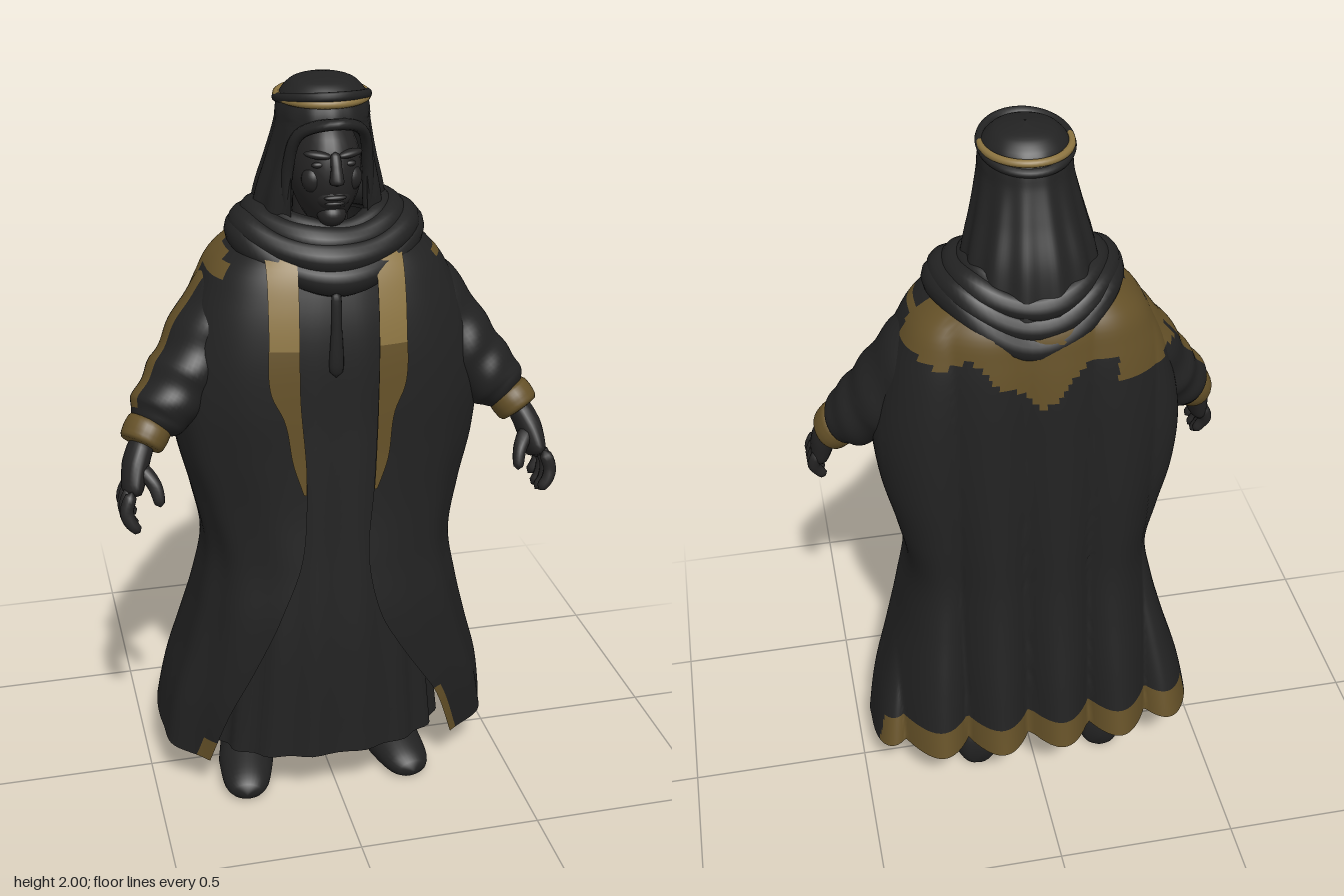
import * as THREE from 'three';
import { mergeVertices } from 'three/addons/utils/BufferGeometryUtils.js';

const material = (name, color) => {
  const m = new THREE.MeshStandardMaterial({ color, side: THREE.DoubleSide });
  m.name = name;
  return m;
};
const { cos, sin, PI, abs, max, sqrt, asin, hypot } = Math;
const lerp = THREE.MathUtils.lerp;
const power = (v, e) => Math.sign(v) * abs(v) ** e;
const V = (x, y, z) => new THREE.Vector3(x, y, z);

// Smooth lookup in rows of [y, ...values], given from low to high
function table(rows) {
  const n = rows[0].length - 1;
  const f = new THREE.CubicInterpolant(rows.map(r => r[0]), rows.flatMap(r => r.slice(1)), n, new Float32Array(n));
  return y => [...f.evaluate(THREE.MathUtils.clamp(y, rows[0][0], rows[rows.length - 1][0]))];
}

// Grid surface from fn(u, v); pick(point, u, v) chooses the material of a cell
function sheet(name, nu, nv, fn, mats, pick) {
  const pos = [], sets = [[], []];
  for (let j = 0; j <= nv; j++) for (let i = 0; i <= nu; i++) pos.push(...fn(i / nu, j / nv));
  for (let j = 0; j < nv; j++) for (let i = 0; i < nu; i++) {
    const a = j * (nu + 1) + i, b = a + 1, c = a + nu + 1, d = c + 1;
    const k = pick && pick(fn((i + 0.5) / nu, (j + 0.5) / nv), (i + 0.5) / nu, (j + 0.5) / nv) ? 1 : 0;
    sets[k].push(a, c, b, b, c, d);
  }
  let g = new THREE.BufferGeometry();
  g.setAttribute('position', new THREE.Float32BufferAttribute(pos, 3));
  g.setIndex([...sets[0], ...sets[1]]);
  if (pick) {
    g.addGroup(0, sets[0].length, 0);
    g.addGroup(sets[0].length, sets[1].length, 1);
  }
  g = mergeVertices(g, 1e-5);
  g.computeVertexNormals();
  const mesh = new THREE.Mesh(g, mats);
  mesh.name = name;
  return mesh;
}

// Point function of a limb along a path with radii [across, deep]
function limb(points, radii, { ref = V(0, 0, 1), round = true, ripple = 0 } = {}) {
  const curve = new THREE.CatmullRomCurve3(points.map(p => V(...p)));
  return (u, v) => {
    const c = curve.getPoint(v), t = curve.getTangent(v);
    const n = ref.clone().cross(t).normalize(), b = t.clone().cross(n);
    const s = v * (radii.length - 1), i = Math.min(Math.floor(s), radii.length - 2);
    const cap = round ? sqrt(max(0, 1 - abs(2 * v - 1) ** 8)) : 1;
    const k = cap * (1 + ripple * sin(v * 30 + 2 * cos(u * 2 * PI)));
    const r = [0, 1].map(q => lerp(radii[i][q], radii[i + 1][q], s - i) * k);
    return c.addScaledVector(n, r[0] * cos(u * 2 * PI)).addScaledVector(b, r[1] * sin(u * 2 * PI)).toArray();
  };
}

// Gold yoke over the upper back, with small patches on the shoulder fronts
const onYoke = ([x, y, z]) => {
  const edge = x < -0.2 ? 1.39 : Math.min(1.47, 1.345 + 0.8 * abs(x)) + 0.012 * sin(x * 45);
  return (z < 0.01 && y > edge) ||
    (z > 0 && (hypot(x - 0.283, y - 1.545) < 0.02 || hypot(x + 0.295, (y - 1.56) * 0.75) < 0.033));
};

export function createModel() {
  const cloth = material('blackCloth', 0x222222);
  const skin = material('darkSkin', 0x252424);
  const gold = material('darkGold', 0x655128);
  const bright = material('brightGold', 0x8c7440);
  const model = new THREE.Group();
  const add = (...a) => { const m = sheet(...a); model.add(m); return m; };

  // Open cloak: [y, half width, front z, back z]
  const cloakRow = table([
    [0.12, 0.48, 0.265, -0.285], [0.3, 0.445, 0.3, -0.258], [0.45, 0.4, 0.32, -0.24], [0.6, 0.36, 0.327, -0.22],
    [0.75, 0.335, 0.312, -0.205], [0.9, 0.36, 0.295, -0.2], [1.05, 0.395, 0.288, -0.195], [1.2, 0.405, 0.288, -0.19],
    [1.35, 0.375, 0.282, -0.185], [1.47, 0.33, 0.262, -0.175], [1.55, 0.28, 0.235, -0.16], [1.64, 0.15, 0.18, -0.1]]);
  // Edges of the front opening: [y, left x, right x]
  const opening = table([
    [0.13, 0.345, 0.365], [0.33, 0.27, 0.3], [0.44, 0.205, 0.255], [0.55, 0.14, 0.21], [0.65, 0.09, 0.17],
    [0.8, 0.062, 0.118], [1, 0.078, 0.1], [1.25, 0.085, 0.115], [1.64, 0.09, 0.105]]);
  const angleAt = (x, y) => asin(Math.min(1, (x / cloakRow(y)[0]) ** (1 / 0.87)));
  const cloakPoint = (a, y, off = 0) => {
    const [w, f, b] = cloakRow(y), c = cos(a), back = c < 0;
    const fall = max(0, (1.6 - y) / 1.4);
    const k = 1 + 0.07 * cos(a * 11 + y * 5) * (back ? 0 : c * (1 - c)) * fall;
    const x = w * power(sin(a), back ? 0.85 : 0.87) * k;
    // Rounded pleats with tight valleys between them
    const pleat = 2 * abs(cos(PI * (x + 0.05) / 0.175)) ** 0.85 - 1.1;
    const fold = back ? sqrt(-c) * (0.006 + 0.04 * fall ** 1.5) * pleat : 0;
    return [x, y, (f + b) / 2 + (f - b) / 2 * power(c, back ? 0.6 : 0.8) * k - fold + off];
  };
  add('cloak', 200, 84, (u, v) => {
    const y0 = lerp(1.64, 0.16, v), [l, r] = opening(y0);
    const a = lerp(angleAt(l, y0), 2 * PI - angleAt(r, y0), u);
    return cloakPoint(a, lerp(1.64, 0.17 - 0.065 * cos(a), v));
  }, [cloth, gold], (p, u, v) =>
    (v > 0.945 && p[2] < -0.12) || (v > 0.87 && u < 0.014) || (v > 0.95 && u > 0.97) || onYoke(p));

  // Gold edging beside the opening, wide on the chest and narrow below
  const edging = table([[0.97, 0.008], [1.05, 0.032], [1.18, 0.045], [1.25, 0.072], [1.4, 0.074], [1.58, 0.074]]);
  for (const s of [1, -1]) {
    const strip = (top, bottom) => (u, v) => {
      const y = lerp(top, bottom, v), x = opening(y)[s > 0 ? 0 : 1];
      return cloakPoint(s * angleAt(x + u * edging(y)[0], y), y, 0.006);
    };
    add('chestEdgingUpper', 8, 16, strip(1.58, 1.36), bright);
    add('chestEdgingLower', 8, 24, strip(1.36, 0.97), gold);
  }

  // Inner robe
  const robeRow = table([
    [0.17, 0.32, 0.303, -0.1], [0.5, 0.285, 0.295, -0.13], [0.8, 0.265, 0.272, -0.15],
    [1.1, 0.28, 0.255, -0.15], [1.4, 0.25, 0.24, -0.13], [1.62, 0.13, 0.18, -0.08]]);
  add('innerRobe', 96, 40, (u, v) => {
    const y = lerp(1.62, 0.17, v), [w, f, b] = robeRow(y), a = u * 2 * PI;
    const k = 1 - 0.025 * v * cos(a * 16);
    return [-0.015 * v + w * power(sin(a), 0.9) * k, y, (f + b) / 2 + (f - b) / 2 * power(cos(a), 0.85) * k];
  }, cloth);
  add('placket', 12, 16, limb([[-0.015, 1.5, 0.245], [-0.015, 1.4, 0.25], [-0.015, 1.27, 0.25]],
    [[0.014, 0.01], [0.014, 0.01], [0.022, 0.012]]), cloth);

  // Draped scarf: [half width, front z, back z, side y, front drop, back drop, thickness]
  for (const [w, f, b, y, df, db, t] of [
    [0.212, 0.215, -0.14, 1.605, 0.085, 0.105, 0.043], [0.205, 0.215, -0.135, 1.625, 0.055, 0.075, 0.038],
    [0.175, 0.19, -0.125, 1.645, 0.04, 0.045, 0.036], [0.145, 0.165, -0.1, 1.66, 0.04, 0.02, 0.032]]) {
    add('scarfFold', 72, 14, (u, v) => {
      const a = u * 2 * PI, c = cos(a), p = v * 2 * PI;
      const r = t * (1 + 0.08 * sin(a * 5 + y * 40));
      const out = r * cos(p);
      return [(w + out) * sin(a), y - (c > 0 ? df * c * c : db * c ** 4) + r * sin(p), (f + b) / 2 + ((f - b) / 2 + out) * c];
    }, cloth);
  }

  // Headcloth with the face opening
  const head = table([
    [1.58, 0.18, 0.17, -0.155], [1.7, 0.162, 0.18, -0.128], [1.8, 0.136, 0.185, -0.09], [1.88, 0.118, 0.2, -0.062],
    [1.93, 0.112, 0.192, -0.048], [1.97, 0.092, 0.168, -0.022], [1.99, 0.058, 0.13, 0.015], [2, 0.002, 0.072, 0.068]]);
  add('headcloth', 96, 50, (u, v) => {
    const y = 1.58 + 0.42 * (1 - (1 - v) ** 1.4), [w, f, b] = head(y);
    const x = y < 1.84 ? 0.097 : 0.097 * sqrt(max(0, 1 - ((y - 1.84) / 0.055) ** 2));
    const gap = asin(Math.min(1, x / w)), a = lerp(gap, 2 * PI - gap, u);
    const k = 1 + 0.035 * max(0, 1 - v * 1.15) * cos(a * 13);
    return [-0.01 + w * sin(a) * k, y, (f + b) / 2 + (f - b) / 2 * cos(a) * k];
  }, cloth);
  add('headclothBrim', 12, 40, limb([[-0.112, 1.64, 0.12], [-0.11, 1.78, 0.13], [-0.088, 1.872, 0.165], [-0.01, 1.905, 0.222],
    [0.068, 1.872, 0.165], [0.09, 1.78, 0.13], [0.092, 1.64, 0.12]], [[0.016, 0.02], [0.014, 0.02], [0.013, 0.022], [0.014, 0.02], [0.016, 0.02]]), cloth);
  // Two crossing head cords: the gold one lies below the other in front, above it behind
  for (const [name, y, r, tilt, mat] of [['headCord', 1.942, 0.012, -0.18, cloth], ['goldHeadCord', 1.946, 0.01, 0, bright]]) {
    const g = new THREE.TorusGeometry(0.116, r, 10, 56).rotateX(PI / 2).scale(0.95, 1, 1.06).rotateX(tilt);
    const m = new THREE.Mesh(g, mat);
    m.name = name;
    m.position.set(-0.012, y, 0.074);
    model.add(m);
  }

  // Face, narrowing towards the chin
  const ball = (name, x, y, z, sx, sy, sz, mat = skin) => {
    const m = new THREE.Mesh(new THREE.SphereGeometry(1, 24, 18).scale(sx, sy, sz), mat);
    m.name = name;
    m.position.set(x, y, z);
    model.add(m);
    return m;
  };
  const face = ball('face', -0.01, 1.765, 0.095, 0.09, 0.145, 0.122), fp = face.geometry.attributes.position;
  for (let i = 0; i < fp.count; i++) fp.setX(i, fp.getX(i) * (1 + 1.6 * Math.min(0, fp.getY(i) + 0.02)));
  face.geometry.computeVertexNormals();
  ball('chin', -0.01, 1.672, 0.172, 0.036, 0.03, 0.036);
  ball('mouthArea', -0.01, 1.72, 0.18, 0.045, 0.035, 0.035);
  add('nose', 14, 14, limb([[-0.01, 1.835, 0.205], [-0.01, 1.795, 0.222], [-0.01, 1.755, 0.228]], [[0.008, 0.012], [0.012, 0.014], [0.022, 0.02]], { ref: V(1, 0, 0) }), skin);
  ball('upperLip', -0.01, 1.723, 0.21, 0.028, 0.007, 0.01);
  ball('lowerLip', -0.01, 1.708, 0.206, 0.025, 0.007, 0.01);
  for (const s of [-1, 1]) {
    ball('brow', -0.01 + s * 0.04, 1.826, 0.194, 0.034, 0.01, 0.015).rotation.set(0, s * 0.35, s * 0.1);
    ball('eye', -0.01 + s * 0.037, 1.802, 0.194, 0.018, 0.008, 0.01);
    ball('cheek', -0.01 + s * 0.045, 1.762, 0.172, 0.03, 0.034, 0.03);
  }
  add('neck', 20, 4, limb([[-0.01, 1.75, 0.05], [-0.01, 1.55, 0.04]], [[0.065, 0.065], [0.075, 0.075]], { round: false }), skin);

  // Arms, cuffs, hands and feet
  for (const s of [1, -1]) {
    const at = list => list.map(([x, y, z]) => [s * x, y, z]);
    const sleeve = limb(at([[0.2, 1.52, 0.03], [0.3, 1.38, 0.05], [0.378, 1.25, 0.09], [0.45, 1.165, 0.13], [0.485, 1.125, 0.155]]),
      [[0.082, 0.13], [0.088, 0.125], [0.092, 0.118], [0.08, 0.092], [0.05, 0.055]], { ripple: 0.035 });
    // The right sleeve carries a gold seam along its top
    add('sleeve', 48, 44, sleeve, [cloth, gold], (p, u, v) =>
      onYoke(p) || (s < 0 && abs(u - 0.5) < 0.035 && v < 0.85));
    add('cuff', 28, 10, limb(at([[0.468, 1.155, 0.14], [0.488, 1.125, 0.155], [0.508, 1.095, 0.172]]),
      [[0.058, 0.066], [0.06, 0.07], [0.056, 0.066]]), gold);
    add('palm', 20, 14, limb(at([[0.495, 1.12, 0.165], [0.522, 1.06, 0.195], [0.54, 0.98, 0.228]]),
      [[0.032, 0.04], [0.034, 0.05], [0.026, 0.058]]), skin);
    for (let i = 0; i < 4; i++) {
      const z = 0.182 + i * 0.029, drop = [0.02, 0, 0, 0.012][i];
      add('finger', 10, 12, limb(at([[0.541, 1.02, z], [0.558, 0.97, z + 0.008], [0.55, 0.928 + drop, z + 0.014], [0.528, 0.9 + drop, z + 0.016]]),
        [[0.018, 0.017], [0.017, 0.016], [0.014, 0.014]]), skin);
    }
    add('thumb', 10, 12, limb(at([[0.512, 1.06, 0.215], [0.482, 1.02, 0.25], [0.472, 0.97, 0.272]]), [[0.022, 0.022], [0.018, 0.018], [0.014, 0.014]]), skin);

    // Shoe with a flat sole, and the leg above it
    const x = s > 0 ? 0 : 0.045;
    const shoe = limb(at([[0.155 + x, 0.06, -0.125], [0.172 + x, 0.065, -0.03], [0.195 + x, 0.045, 0.1], [0.22 + x, 0.03, 0.25]]),
      [[0.06, 0.08], [0.068, 0.095], [0.078, 0.068], [0.06, 0.035]], { ref: V(0, 1, 0) });
    add('shoe', 28, 28, (u, v) => { const p = shoe(u, v); return [p[0], max(0, p[1]), p[2]]; }, cloth);
    add('leg', 20, 6, limb(at([[0.165 + x, 0.06, -0.04], [0.17 + x, 0.25, -0.02], [0.15, 0.6, 0.02]]),
      [[0.06, 0.07], [0.066, 0.075], [0.085, 0.09]], { round: false }), cloth);
  }
  return model;
}
